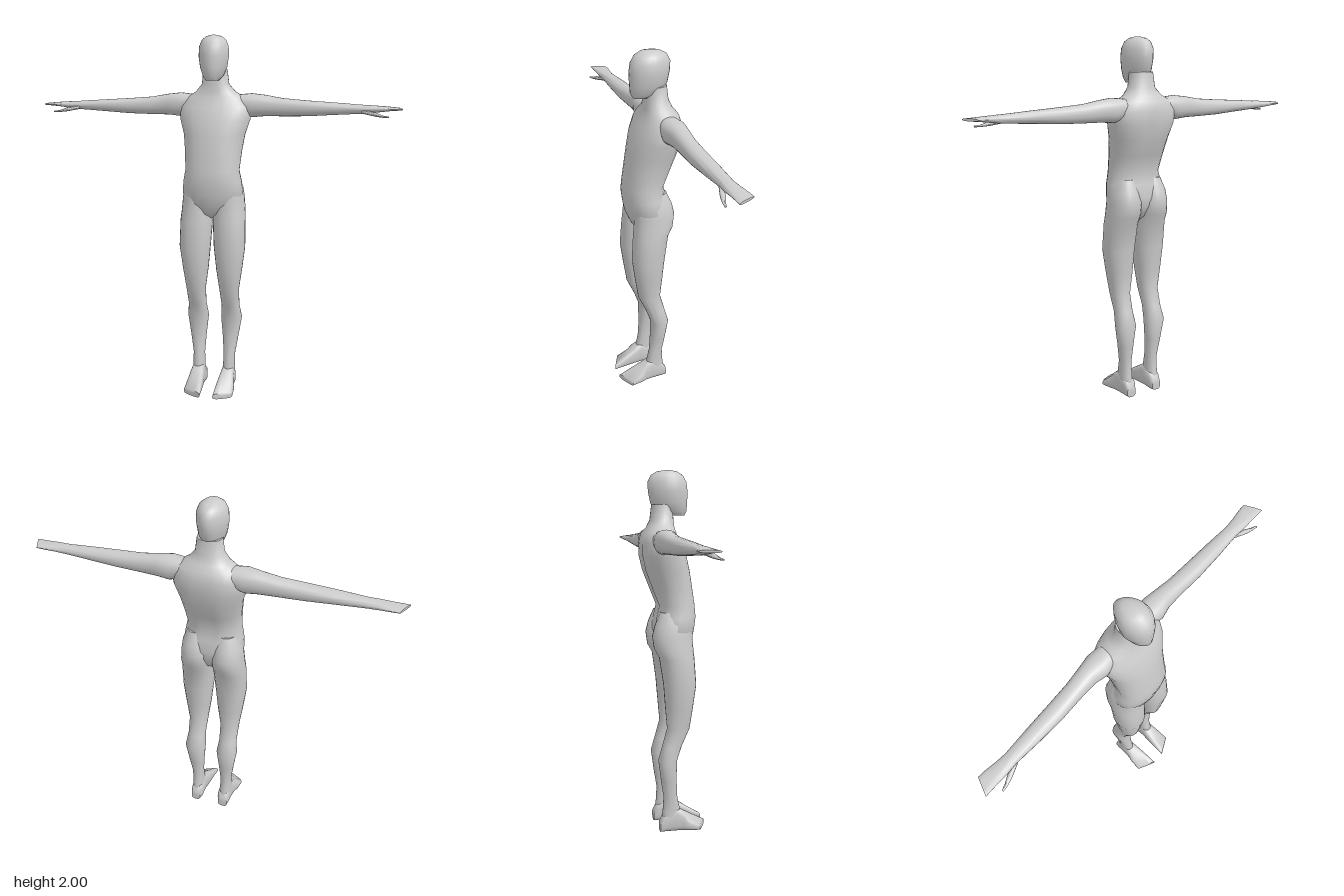
import * as THREE from 'three';
import { toCreasedNormals } from 'three/addons/utils/BufferGeometryUtils.js';

const SIDES = 24;
const material = new THREE.MeshStandardMaterial({ color: 0xcccccc });

// Where (a, b, t) go for a loft that runs along each axis
const place = {
  y: (a, b, t) => [a, t, b],
  x: (a, b, t) => [t, b, a],
  z: (a, b, t) => [b, a, t],
};

// Lofts rings [t, aMin, aMax, bMin, bMax] into a closed skin; t must rise.
// power: 2 is an ellipse, more is squarer. adjust(a, b, t, ring) may move a point.
function loft(axis, rings, { power = 2, adjust = (a, b, t) => [a, b, t] } = {}) {
  const pos = [], index = [];
  const bend = v => Math.sign(v) * Math.pow(Math.abs(v), 2 / power);
  rings.forEach(([t, a0, a1, b0, b1], r) => {
    for (let i = 0; i < SIDES; i++) {
      const u = (i / SIDES) * Math.PI * 2;
      const a = (a0 + a1) / 2 + (a1 - a0) / 2 * bend(Math.cos(u));
      const b = (b0 + b1) / 2 + (b1 - b0) / 2 * bend(Math.sin(u));
      pos.push(...place[axis](...adjust(a, b, t, r)));
    }
  });
  for (let r = 0; r < rings.length - 1; r++) {
    for (let i = 0; i < SIDES; i++) {
      const p = r * SIDES + i, q = r * SIDES + (i + 1) % SIDES;
      index.push(p, p + SIDES, q, q, p + SIDES, q + SIDES);
    }
  }
  // End caps
  [0, rings.length - 1].forEach((r, end) => {
    const [t, a0, a1, b0, b1] = rings[r];
    const c = pos.length / 3;
    pos.push(...place[axis](...adjust((a0 + a1) / 2, (b0 + b1) / 2, t, r)));
    for (let i = 0; i < SIDES; i++) {
      const p = r * SIDES + i, q = r * SIDES + (i + 1) % SIDES;
      index.push(...(end ? [c, q, p] : [c, p, q]));
    }
  });
  const geo = new THREE.BufferGeometry();
  geo.setAttribute('position', new THREE.Float32BufferAttribute(pos, 3));
  geo.setIndex(index);
  return geo;
}

// Mirrored copy across x = 0, with the faces turned back outwards
function mirror(geo) {
  const copy = geo.clone().scale(-1, 1, 1);
  const ix = copy.index.array;
  for (let i = 0; i < ix.length; i += 3) [ix[i], ix[i + 1]] = [ix[i + 1], ix[i]];
  return copy;
}

export function createModel() {
  const model = new THREE.Group();
  model.name = 'humanFigure';
  const add = (name, geo) => {
    const mesh = new THREE.Mesh(toCreasedNormals(geo, 1.0), material);
    mesh.name = name;
    model.add(mesh);
  };
  const addPair = (name, geo) => {
    add('left' + name, geo);
    add('right' + name, mirror(geo));
  };
  const symmetric = rows => rows.map(([y, w, z0, z1]) => [y, -w, w, z0, z1]);

  // Torso and neck, with a shallow groove along the spine
  add('torso', loft('y', symmetric([
    [1.01, 0.02, -0.03, 0.03],
    [1.04, 0.07, -0.07, 0.08],
    [1.10, 0.15, -0.10, 0.105],
    [1.15, 0.17, -0.11, 0.115],
    [1.22, 0.162, -0.10, 0.125],
    [1.28, 0.15, -0.085, 0.12],
    [1.38, 0.158, -0.125, 0.105],
    [1.47, 0.17, -0.16, 0.09],
    [1.55, 0.195, -0.178, 0.07],
    [1.62, 0.20, -0.178, 0.04],
    [1.67, 0.16, -0.165, 0.015],
    [1.70, 0.11, -0.14, 0.008],
    [1.74, 0.075, -0.122, 0.005],
    [1.82, 0.065, -0.112, 0.0],
  ]), {
    power: 2.2,
    adjust: (x, z, y) => {
      const groove = z < 0 && Math.abs(x) < 0.01 && y > 1.1 && y < 1.6 ? 0.012 : 0;
      return [x, z + groove, y];
    },
  }));

  // Head, narrower towards the back of the skull
  add('head', loft('y', symmetric([
    [1.762, 0.035, -0.03, 0.068],
    [1.785, 0.055, -0.09, 0.08],
    [1.83, 0.073, -0.12, 0.083],
    [1.89, 0.082, -0.132, 0.085],
    [1.94, 0.08, -0.134, 0.078],
    [1.975, 0.065, -0.115, 0.058],
    [1.993, 0.042, -0.085, 0.03],
    [2.0, 0.015, -0.045, 0.0],
  ]), { adjust: (x, z, y) => [x * (1 + Math.min(0, z + 0.02) * 2), z, y] }));

  // Arm and flat hand, the fingertips cut on a slant
  addPair('Arm', loft('x', [
    [0.08, -0.13, -0.03, 1.60, 1.68],
    [0.20, -0.145, -0.012, 1.562, 1.692],
    [0.27, -0.135, -0.028, 1.569, 1.684],
    [0.37, -0.125, -0.03, 1.57, 1.667],
    [0.50, -0.12, -0.025, 1.573, 1.657],
    [0.65, -0.114, -0.028, 1.583, 1.648],
    [0.80, -0.105, -0.035, 1.592, 1.638],
    [0.86, -0.11, -0.03, 1.598, 1.635],
    [0.92, -0.118, -0.03, 1.606, 1.631],
    [0.98, -0.12, -0.028, 1.612, 1.626],
  ], {
    power: 2.3,
    adjust: (z, y, x, r) => [z, y, r === 9 ? x + 0.44 * (z + 0.074) : x],
  }));

  // Thumb
  addPair('Thumb', loft('x', [
    [0.79, -0.06, -0.035, 1.594, 1.615],
    [0.86, -0.036, -0.008, 1.581, 1.603],
    [0.90, -0.017, 0.0, 1.577, 1.588],
    [0.93, -0.006, 0.004, 1.576, 1.584],
  ]));

  // Leg, from ankle to buttock
  addPair('Leg', loft('y', [
    [0.05, 0.055, 0.12, -0.085, 0.02],
    [0.12, 0.055, 0.122, -0.075, 0.025],
    [0.20, 0.057, 0.122, -0.07, 0.008],
    [0.30, 0.05, 0.138, -0.085, 0.002],
    [0.42, 0.038, 0.158, -0.10, 0.002],
    [0.50, 0.047, 0.147, -0.078, 0.03],
    [0.60, 0.042, 0.15, -0.05, 0.075],
    [0.72, 0.025, 0.168, -0.06, 0.093],
    [0.85, 0.012, 0.185, -0.07, 0.11],
    [1.00, 0.003, 0.182, -0.092, 0.10],
    [1.05, 0.002, 0.178, -0.12, 0.095],
    [1.12, 0.002, 0.172, -0.13, 0.09],
    [1.18, 0.012, 0.165, -0.115, 0.09],
    [1.25, 0.03, 0.14, -0.085, 0.08],
  ], { power: 2.2 }));

  // Foot, the toes slanting back to the outside
  addPair('Foot', loft('z', [
    [-0.092, 0, 0.06, 0.06, 0.115],
    [-0.07, 0, 0.10, 0.05, 0.12],
    [0.0, 0, 0.14, 0.05, 0.125],
    [0.04, 0, 0.115, 0.045, 0.13],
    [0.09, 0, 0.075, 0.04, 0.138],
    [0.155, 0, 0.035, 0.037, 0.142],
  ], {
    power: 3.2,
    adjust: (y, x, z, r) => [y, x, r > 3 ? z - 0.5 * (x - 0.09) : z],
  }));

  return model;
}
